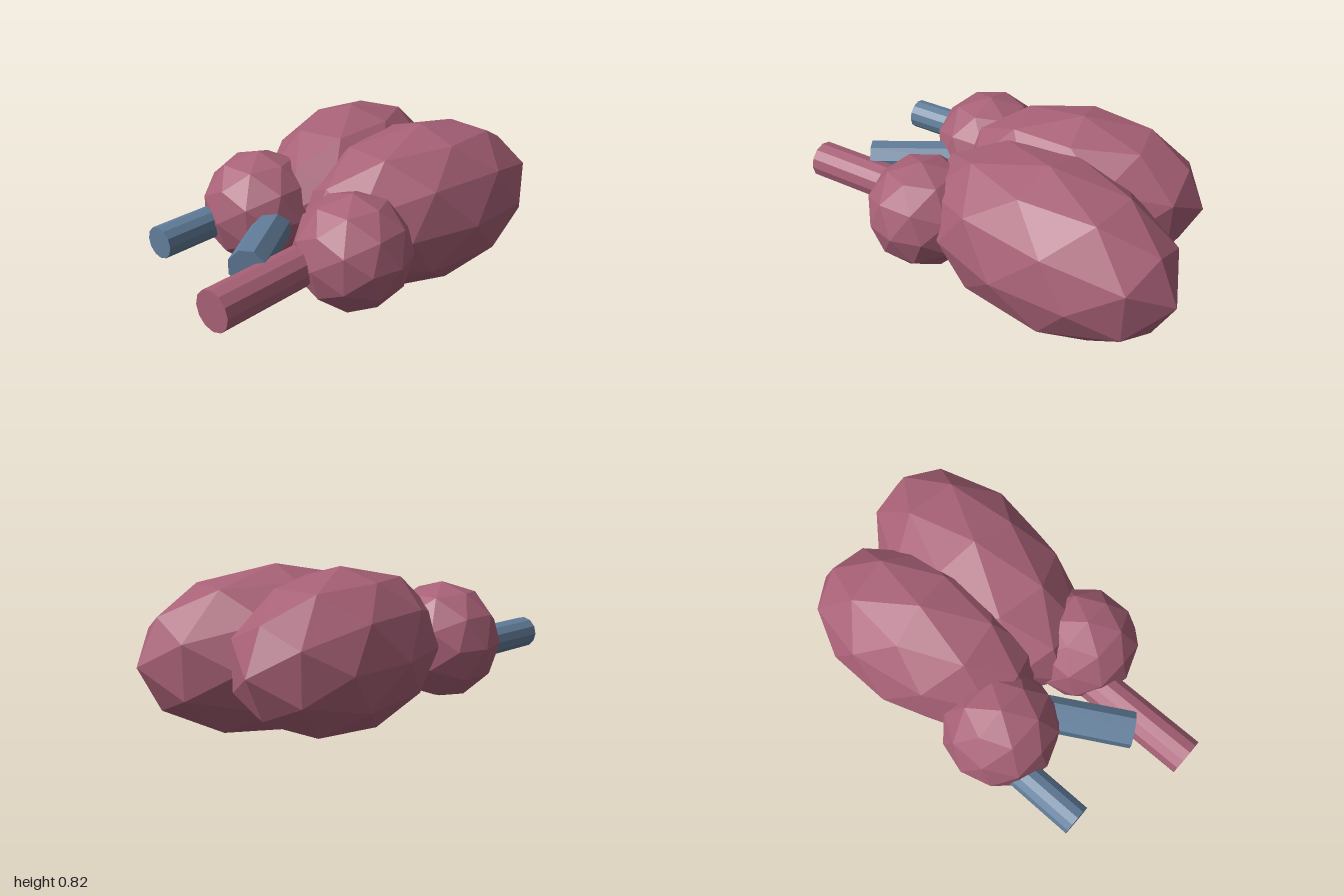
import * as THREE from 'three';

const red = new THREE.MeshStandardMaterial({ name: 'muscle red', color: 0xa86177, flatShading: true });
const blue = new THREE.MeshStandardMaterial({ name: 'vein blue', color: 0x627e9b, flatShading: true });

// faceted chamber: icosphere stretched along z and turned about y
function chamber(name, r, stretch, [x, y, z], yaw = 0) {
  const mesh = new THREE.Mesh(new THREE.IcosahedronGeometry(r, 1), red);
  mesh.name = name;
  mesh.scale.z = stretch;
  mesh.rotation.y = yaw;
  mesh.position.set(x, y, z);
  return mesh;
}

// vessel running forward, placed by the centre of its open front end
function vessel(name, material, r, length, sides, [x, y, z], yaw = 0, roll = 0) {
  const geo = new THREE.CylinderGeometry(r, r, length, sides);
  geo.rotateY(roll);
  geo.rotateX(Math.PI / 2);
  geo.translate(0, 0, -length / 2);
  const mesh = new THREE.Mesh(geo, material);
  mesh.name = name;
  mesh.rotation.y = yaw;
  mesh.position.set(x, y, z);
  return mesh;
}

export function createModel() {
  const group = new THREE.Group();
  group.name = 'heart';
  const tilt = THREE.MathUtils.degToRad(10);

  group.add(
    // large lower chambers, spreading apart toward the back
    chamber('leftVentricle', 0.4, 1.7, [0.19, 0.4, -0.33], -tilt),
    chamber('rightVentricle', 0.372, 1.6, [-0.21, 0.452, -0.29], tilt),
    // small round upper chambers
    chamber('leftAtrium', 0.273, 1, [0.28, 0.383, 0.28]),
    chamber('rightAtrium', 0.28, 1, [-0.305, 0.428, 0.27]),
    // vessels
    vessel('aorta', red, 0.093, 0.7, 12, [0.17, 0.358, 1]),
    vessel('venaCava', blue, 0.075, 0.55, 12, [-0.4, 0.4, 0.805]),
    vessel('pulmonaryArtery', blue, 0.087, 0.5, 8, [0.092, 0.413, 0.737], Math.PI / 6, Math.PI / 8)
  );
  return group;
}
